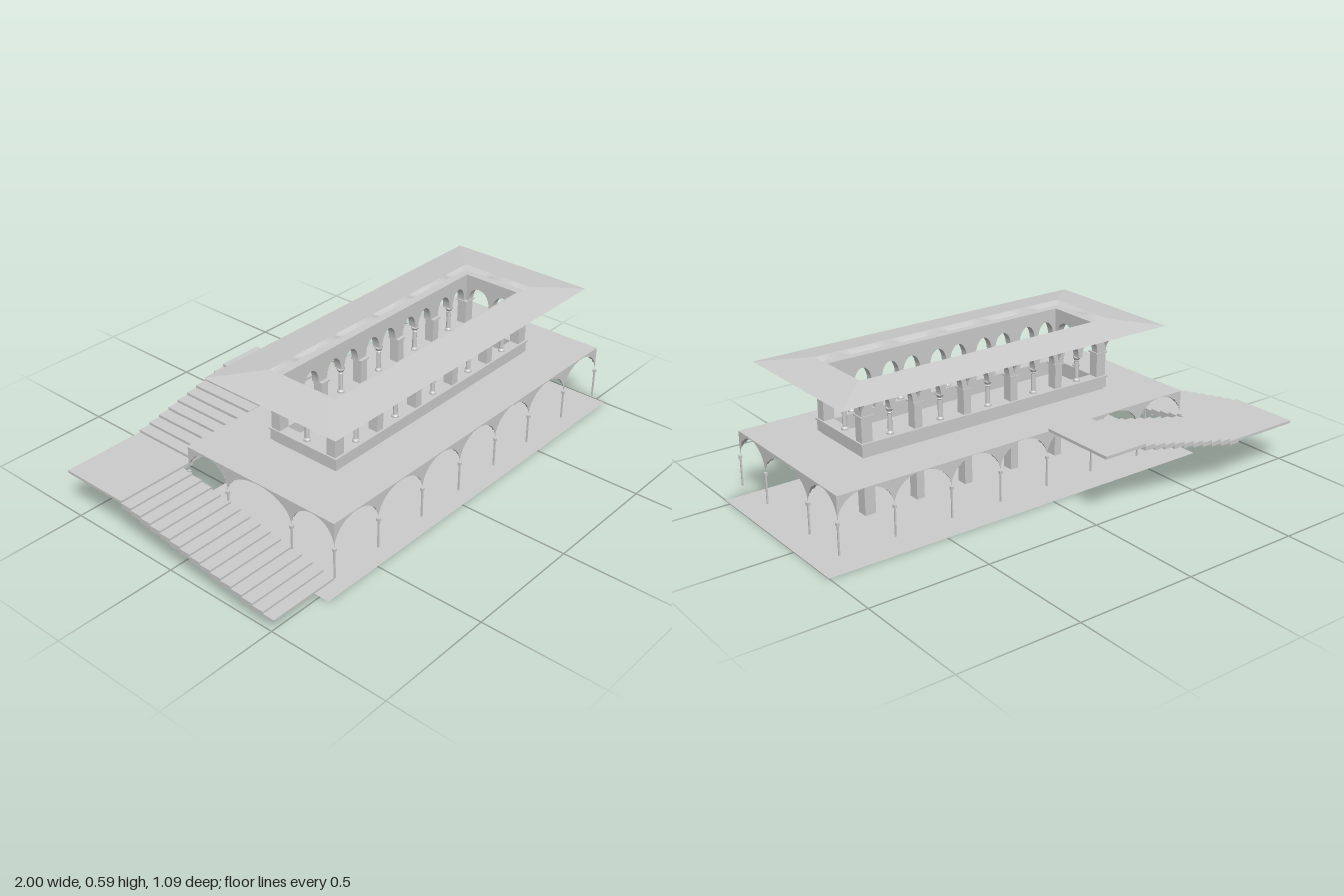
import * as THREE from 'three';
import { toCreasedNormals } from 'three/addons/utils/BufferGeometryUtils.js';

const solid = new THREE.MeshStandardMaterial({ color: 0xcccccc });
const thin = new THREE.MeshStandardMaterial({ color: 0xcccccc, side: THREE.DoubleSide });

// Outer faces of the core and of the surrounding gallery
const CORE = { x0: -0.466, x1: 0.7, z0: -0.005, z1: 0.313 };
const GAL = { x0: -0.7, x1: 0.935, z0: -0.21, z1: 0.515 };
const PIER = 0.046;
const BASE = 0.055, SPRING = 0.182, DECK = 0.285;
const SILL = 0.345, SPRING2 = 0.45, TOP2 = 0.556;

export function createModel() {
  const model = new THREE.Group();
  const add = (name, geo, mat = solid) => {
    const m = new THREE.Mesh(geo, mat);
    m.name = name;
    model.add(m);
    return m;
  };
  // Box given by its limits
  const block = (name, x0, x1, y0, y1, z0, z1) =>
    add(name, new THREE.BoxGeometry(x1 - x0, y1 - y0, z1 - z0))
      .position.set((x0 + x1) / 2, (y0 + y1) / 2, (z0 + z1) / 2);
  const post = (name, x, z, w, d, y0, y1) =>
    block(name, x - w / 2, x + w / 2, y0, y1, z - d / 2, z + d / 2);

  // Wall above a row of arches; openings are [start, end] pairs
  const archWall = (name, a, b, openings, spring, rise, top, depth, alongZ, at) => {
    const s = new THREE.Shape();
    s.moveTo(a, spring);
    for (const [p, q] of openings) {
      s.lineTo(p, spring);
      s.absellipse((p + q) / 2, spring, (q - p) / 2, rise, Math.PI, 0, true);
    }
    s.lineTo(b, spring);
    s.lineTo(b, top);
    s.lineTo(a, top);
    const geo = depth
      ? toCreasedNormals(new THREE.ExtrudeGeometry(s, { depth, bevelEnabled: false, curveSegments: 16 }), 0.6)
      : new THREE.ShapeGeometry(s, 16);
    const m = add(name, geo, depth ? solid : thin);
    if (alongZ) {
      m.rotation.y = -Math.PI / 2;
      m.position.x = at;
    } else m.position.z = at;
  };

  // Groin vault: the higher of two crossing barrels; u and v limits allow half and quarter vaults
  const vault = (name, x0, x1, z0, z1, spring, rise, u = [-1, 1], v = [-1, 1]) => {
    const n = 16, pos = [], idx = [];
    const bend = (t, [a, b]) => {
      const f = Math.asin(a);
      return Math.sin(f + (Math.asin(b) - f) * t);
    };
    const arch = (t) => Math.sqrt(Math.max(0, 1 - t * t));
    for (let j = 0; j <= n; j++) {
      for (let i = 0; i <= n; i++) {
        const p = bend(i / n, u), q = bend(j / n, v);
        pos.push(
          x0 + ((x1 - x0) * (p - u[0])) / (u[1] - u[0]),
          spring + rise * Math.max(arch(p), arch(q)),
          z0 + ((z1 - z0) * (q - v[0])) / (v[1] - v[0]));
        if (i < n && j < n) {
          const k = j * (n + 1) + i;
          idx.push(k, k + 1, k + n + 1, k + 1, k + n + 2, k + n + 1);
        }
      }
    }
    const g = new THREE.BufferGeometry();
    g.setAttribute('position', new THREE.Float32BufferAttribute(pos, 3));
    g.setIndex(idx);
    add(name, toCreasedNormals(g, 0.5), thin);
  };

  // Flat or sloping ring between two rectangles
  const ring = (name, o, yo, i, yi) => {
    const loop = (r, y) => [[r.x0, y, r.z0], [r.x0, y, r.z1], [r.x1, y, r.z1], [r.x1, y, r.z0]];
    const g = new THREE.BufferGeometry();
    g.setAttribute('position', new THREE.Float32BufferAttribute([...loop(o, yo), ...loop(i, yi)].flat(), 3));
    const idx = [];
    for (let k = 0; k < 4; k++) {
      const l = (k + 1) % 4;
      idx.push(k, l, k + 4, l, l + 4, k + 4);
    }
    g.setIndex(idx);
    add(name, toCreasedNormals(g, 0.05), thin);
  };
  const sheet = (name, x0, x1, z0, z1, y) => {
    const m = add(name, new THREE.PlaneGeometry(x1 - x0, z1 - z0).rotateX(-Math.PI / 2), thin);
    m.position.set((x0 + x1) / 2, y, (z0 + z1) / 2);
  };

  // Ground and gallery deck
  sheet('ground', -0.76, 1, -0.245, 0.54, 0);
  sheet('deck', GAL.x0, GAL.x1, GAL.z0 - 0.005, GAL.z1, DECK);

  // Pier centres of the core
  const px = [], step = (CORE.x1 - CORE.x0 - PIER) / 5;
  for (let i = 0; i <= 5; i++) px.push(CORE.x0 + PIER / 2 + i * step);
  const pz = [CORE.z0 + PIER / 2, CORE.z1 - PIER / 2];
  const gap = (c, i) => [c[i] + PIER / 2, c[i + 1] - PIER / 2];
  const xGaps = px.slice(1).map((_, i) => gap(px, i));
  const zGap = gap(pz, 0);

  // Gallery vaults, facade arches and slender posts
  const gx = [GAL.x0, CORE.x0, ...px.slice(1, 5), CORE.x1, GAL.x1];
  const gz = [GAL.z0, CORE.z0, CORE.z1, GAL.z1];
  const pairs = (a) => a.slice(1).map((e, i) => [a[i], e]);
  const rise = DECK - SPRING - 0.004;
  for (const [a, b] of pairs(gx))
    for (const [c, d] of pairs(gz)) vault('vault', a, b, c, d, SPRING, rise);
  for (const z of [GAL.z0, GAL.z1])
    archWall('facadeArches', GAL.x0, GAL.x1, pairs(gx), SPRING, rise, DECK, 0, false, z);
  for (const x of [GAL.x0, GAL.x1])
    archWall('sideArches', GAL.z0, GAL.z1, pairs(gz), SPRING, rise, DECK, 0, true, x);
  for (const x of gx)
    for (const z of gz) {
      const edgeX = x === GAL.x0 || x === GAL.x1, edgeZ = z === GAL.z0 || z === GAL.z1;
      if (!edgeX && !edgeZ) continue;
      post('galleryPost', x, z, 0.006, 0.006, BASE, SPRING);
      post('galleryCapital', x, z, 0.012, 0.012, SPRING - 0.012, SPRING);
    }

  // Core piers on both floors
  px.forEach((x, i) => {
    const w = i % 5 ? 0.034 : PIER;
    for (const z of pz) {
      post('lowerPier', x, z, w, PIER, BASE, SPRING);
      post('lowerCapital', x, z, w + 0.012, PIER + 0.01, SPRING - 0.008, SPRING);
      post('upperPier', x, z, w, PIER - 0.004, SILL, SPRING2);
      post('upperCapital', x, z, w + 0.01, PIER + 0.006, SPRING2 - 0.007, SPRING2);
    }
  });

  // Core arches: single openings below, paired openings above
  const split = ([a, b]) => {
    const m = (a + b) / 2;
    return [[a, m - 0.009], [m + 0.009, b]];
  };
  const T = 0.034;
  for (const z of [CORE.z0, CORE.z1 - T]) {
    archWall('lowerArches', CORE.x0, CORE.x1, xGaps, SPRING, 0.095, DECK, T, false, z);
    archWall('upperArches', CORE.x0, CORE.x1, xGaps.flatMap(split), SPRING2, 0.065, 0.566, T, false, z);
  }
  for (const x of [CORE.x0 + T, CORE.x1]) {
    archWall('lowerEndArch', CORE.z0, CORE.z1, [zGap], SPRING, 0.095, DECK, T, true, x);
    archWall('upperEndArches', CORE.z0, CORE.z1, split(zGap), SPRING2, 0.065, 0.566, T, true, x);
  }

  // Colonnettes between the paired openings
  const colonnette = (x, z) => {
    const h = SPRING2 - SILL;
    const pts = [[0.014, 0], [0.014, 0.006], [0.009, 0.012], [0.009, h - 0.022], [0.012, h - 0.019],
      [0.009, h - 0.015], [0.016, h - 0.004], [0.016, h]].map(([r, y]) => new THREE.Vector2(r, y));
    add('colonnette', toCreasedNormals(new THREE.LatheGeometry(pts, 16), 0.5), thin).position.set(x, SILL, z);
  };
  for (const [a, b] of xGaps) for (const z of pz) colonnette((a + b) / 2, z);
  for (const x of [px[0], px[5]]) colonnette(x, (zGap[0] + zGap[1]) / 2);

  // Parapet with plinth and sill moulding
  const band = (name, grow, y0, y1, t) => {
    const x0 = CORE.x0 - grow, x1 = CORE.x1 + grow, z0 = CORE.z0 - grow, z1 = CORE.z1 + grow;
    block(name, x0, x1, y0, y1, z0, z0 + t);
    block(name, x0, x1, y0, y1, z1 - t, z1);
    block(name, x0, x0 + t, y0, y1, z0 + t, z1 - t);
    block(name, x1 - t, x1, y0, y1, z0 + t, z1 - t);
  };
  band('plinth', -0.006, DECK, 0.295, 0.036);
  band('parapet', 0.003, 0.295, 0.338, 0.045);
  band('sill', 0.007, 0.338, SILL, 0.05);

  // Flaring cove with lunettes under the eaves
  const C = 0.095, R2 = TOP2 - SPRING2;
  const full = [-1, 1], out = [-1, 0], inn = [0, 1];
  const cx = [CORE.x0, ...px.slice(1, 5), CORE.x1];
  const zSides = [[CORE.z0 - C, CORE.z0, inn], [CORE.z1, CORE.z1 + C, out]];
  const xSides = [[CORE.x0 - C, CORE.x0, inn], [CORE.x1, CORE.x1 + C, out]];
  for (const [c, d, v] of zSides) {
    for (const [a, b] of pairs(cx)) vault('cove', a, b, c, d, SPRING2, R2, full, v);
    for (const [a, b, u] of xSides) vault('coveCorner', a, b, c, d, SPRING2, R2, u, v);
  }
  for (const [a, b, u] of xSides) vault('coveEnd', a, b, CORE.z0, CORE.z1, SPRING2, R2, u, full);

  // Hipped roof ring, open in the middle
  ring('roof', { x0: -0.637, x1: 0.876, z0: -0.168, z1: 0.468 }, 0.566, CORE, 0.59);

  // Stairs: landing, upper flight, corner landing, lower flight
  block('topLanding', -0.195, 0, 0.283, 0.295, -0.545, GAL.z0);
  for (let i = 0; i < 10; i++) {
    const x = -0.195 - i * 0.0505, y = 0.284 - i * 0.011;
    block('upperStep', x - 0.0505, x, y - 0.018, y, -0.545, -0.245);
  }
  block('cornerLanding', -1, -0.7, 0.174, 0.185, -0.545, -0.245);
  for (let i = 0; i < 15; i++) {
    const z = -0.245 + i * 0.0505, y = 0.176 - i * 0.0087;
    block('lowerStep', -1, -0.7, Math.max(0.045, y - 0.022), y, z, z + 0.0505);
  }
  return model;
}
